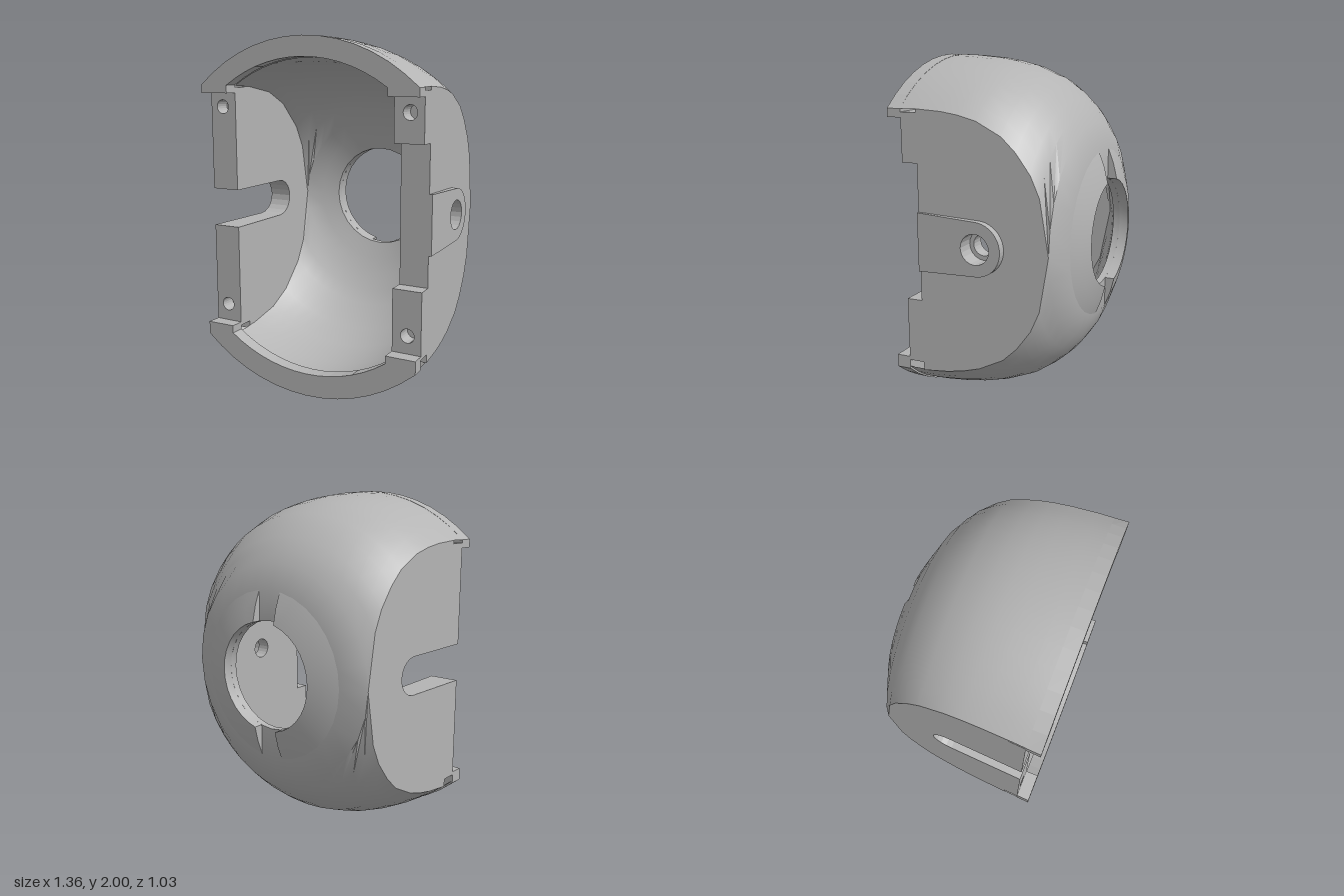
import * as THREE from 'three';
import { mergeGeometries, toCreasedNormals } from 'three/addons/utils/BufferGeometryUtils.js';

const CY = 1.01;      // height of the shell axis
const PIVOT = 1.02;   // height of the slot and pivot hole
const INNER = 0.5;    // inside face of the side walls
const SEG = 14;

const halfWidth = (z) => 0.645 + 0.057 * z;               // tapered flat sides
const drop = (z, s) => (s < 0 ? 0.02 * Math.max(0, z / 0.52) : 0);

// Dome profile around the z axis: [z, radius]
const outer = [[0.44, 0.989], [0.35, 0.987], [0.2, 0.975], [0.1, 0.96], [0, 0.937], [-0.14, 0.88],
  [-0.22, 0.825], [-0.3, 0.755], [-0.35, 0.695], [-0.4, 0.622], [-0.46, 0.48]];
const inner = [[-0.42, 0.31], [-0.38, 0.41], [-0.33, 0.5], [-0.27, 0.59], [-0.2, 0.67], [-0.05, 0.78],
  [0.1, 0.84], [0.3, 0.87], [0.44, 0.877]];

// Grid of points made into a surface; caps closes the two column ends
function surface(rows, cols, point, caps = false) {
  const pos = [], idx = [], n = cols + 1;
  for (let i = 0; i < rows; i++) for (let j = 0; j <= cols; j++) pos.push(...point(i, j / cols));
  for (let i = 0; i < rows - 1; i++) for (let j = 0; j < cols; j++) {
    const a = i * n + j, b = a + n;
    idx.push(a, b, a + 1, b, b + 1, a + 1);
  }
  if (caps) for (let i = 1; i < rows - 1; i++) {
    idx.push(0, (i + 1) * n, i * n);
    idx.push(cols, i * n + cols, (i + 1) * n + cols);
  }
  const g = new THREE.BufferGeometry();
  g.setAttribute('position', new THREE.Float32BufferAttribute(pos, 3));
  g.setIndex(idx);
  return g;
}

// Pull outside side vertices onto the tapered side plane
function taper(g) {
  const p = g.attributes.position;
  for (let i = 0; i < p.count; i++) {
    const x = p.getX(i);
    if (Math.abs(x) > 0.645) p.setX(i, Math.sign(x) * halfWidth(p.getZ(i)));
  }
  g.computeVertexNormals();
  return g;
}

const shapeOf = (pts) => new THREE.Shape(pts.map(([x, y]) => new THREE.Vector2(x, y)));
const circle = (x, y, r) => new THREE.Path().absarc(x, y, r, 0, Math.PI * 2, true);
const extrude = (shape, depth) =>
  new THREE.ExtrudeGeometry(shape, { depth, bevelEnabled: false, curveSegments: 10 });
// Extrude a (-z, y) shape sideways along x, starting at x0
const sideways = (shape, x0, depth) => extrude(shape, depth).rotateY(Math.PI / 2).translate(x0, 0, 0);

// Revolved shell, trimmed at the flat sides, folding in through the rear opening
function shellGeometry() {
  const rows = [
    ...outer.map(([z, r]) => [z, r, halfWidth(z)]),
    [-0.46, 0.31, 1], [-0.42, 0.31, 1],
    ...inner.map(([z, r]) => [z, r, INNER]),
  ];
  const halves = [1, -1].map((s) => surface(rows.length, SEG, (i, u) => {
    const [z, r, w] = rows[i];
    const a = Math.acos(Math.min(1, w / r));
    const t = a + (Math.PI - 2 * a) * u + (s < 0 ? Math.PI : 0);
    return [r * Math.cos(t), CY + r * Math.sin(t) + drop(z, s) * Math.sin(t), z];
  }));
  return toCreasedNormals(mergeGeometries(halves), 0.6);
}

// Raised C-shaped pad beside the rear notches
function padGeometry(turn) {
  const rows = [[-0.46, 0.48], [-0.492, 0.4], [-0.515, 0.31], [-0.46, 0.31]];
  return toCreasedNormals(surface(rows.length, SEG, (i, u) => {
    const [z, r] = rows[i];
    const b = Math.PI / 2 - Math.asin(0.075 / r);
    const t = turn - b + 2 * b * u;
    return [r * Math.cos(t), CY + r * Math.sin(t), z];
  }, true), 0.6);
}

// Front lip above or below the open front
function lipGeometry(s) {
  const w = 0.672, R = 0.99 + drop(0.52, s), r = 0.88, pts = [[w, 0.68]];
  const a = Math.acos(w / R), b = Math.acos(INNER / r);
  for (let i = 0; i <= SEG; i++) {
    const t = a + (Math.PI - 2 * a) * i / SEG;
    pts.push([R * Math.cos(t), R * Math.sin(t)]);
  }
  pts.push([-w, 0.68], [-INNER, 0.68]);
  for (let i = SEG; i >= 0; i--) {
    const t = b + (Math.PI - 2 * b) * i / SEG;
    pts.push([r * Math.cos(t), r * Math.sin(t)]);
  }
  pts.push([INNER, 0.68]);
  const shape = shapeOf(pts.map(([x, y]) => [x, CY + s * y]));
  return taper(extrude(shape, 0.08).translate(0, 0, 0.44));
}

// Flat side wall; one side has an open slot, the other a round hole
function wallGeometry(side) {
  const edge = (s) => outer.slice(1, -1).map(([z, r]) => {
    const w = halfWidth(z), R = r + drop(z, s);
    return [-z, CY + s * Math.sqrt(Math.max(0, R * R - w * w))];
  });
  const pts = [...edge(1), ...edge(-1).reverse().slice(1)];
  if (side < 0) {
    pts.push([-0.35, PIVOT - 0.11]);
    for (let i = 0; i <= 10; i++) {
      const t = -Math.PI / 2 + Math.PI * i / 10;
      pts.push([0.11 * Math.cos(t), PIVOT + 0.11 * Math.sin(t)]);
    }
    pts.push([-0.35, PIVOT + 0.11]);
  }
  const shape = shapeOf(pts);
  if (side > 0) shape.holes.push(circle(0, PIVOT, 0.085));
  return taper(sideways(shape, side > 0 ? INNER : -0.66, 0.16));
}

// Front block with a screw hole
function blockGeometry(side, y0, y1, holeY) {
  const a = side * INNER, b = side * 0.66;
  const shape = shapeOf([[a, y0], [b, y0], [b, y1], [a, y1]]);
  shape.holes.push(circle(side * 0.59, holeY, 0.04));
  return taper(extrude(shape, 0.09).translate(0, 0, 0.35));
}

// Raised pivot boss with a rounded rear end
function bossGeometry() {
  const shape = new THREE.Shape();
  shape.moveTo(-0.35, PIVOT - 0.165);
  shape.lineTo(0, PIVOT - 0.15);
  shape.absarc(0, PIVOT, 0.15, -Math.PI / 2, Math.PI / 2, false);
  shape.lineTo(-0.35, PIVOT + 0.165);
  shape.holes.push(circle(0, PIVOT, 0.085));
  return sideways(shape, 0.62, 0.062);
}

function bushingGeometry() {
  const shape = new THREE.Shape().absarc(0, PIVOT, 0.088, 0, Math.PI * 2, false);
  shape.holes.push(circle(0, PIVOT, 0.06));
  return sideways(shape, INNER, 0.08);
}

export function createModel() {
  const model = new THREE.Group();
  model.name = 'halfShellHousing';
  const grey = new THREE.MeshStandardMaterial({ color: 0xb4b4b4, side: THREE.DoubleSide });
  grey.name = 'grey';
  const add = (name, geometry) => {
    const mesh = new THREE.Mesh(geometry, grey);
    mesh.name = name;
    mesh.position.x = -0.01;
    model.add(mesh);
  };

  add('shell', shellGeometry());
  add('rearPadLeft', padGeometry(0));
  add('rearPadRight', padGeometry(Math.PI));
  add('topLip', lipGeometry(1));
  add('bottomLip', lipGeometry(-1));
  add('leftWall', wallGeometry(1));
  add('rightWall', wallGeometry(-1));
  add('leftUpperBlock', blockGeometry(1, 1.45, 1.72, 1.61));
  add('leftLowerBlock', blockGeometry(1, 0.31, 0.68, 0.43));
  add('rightUpperBlock', blockGeometry(-1, PIVOT + 0.11, 1.72, 1.61));
  add('rightLowerBlock', blockGeometry(-1, 0.31, PIVOT - 0.11, 0.43));
  add('pivotBoss', bossGeometry());
  add('pivotBushing', bushingGeometry());
  return model;
}
